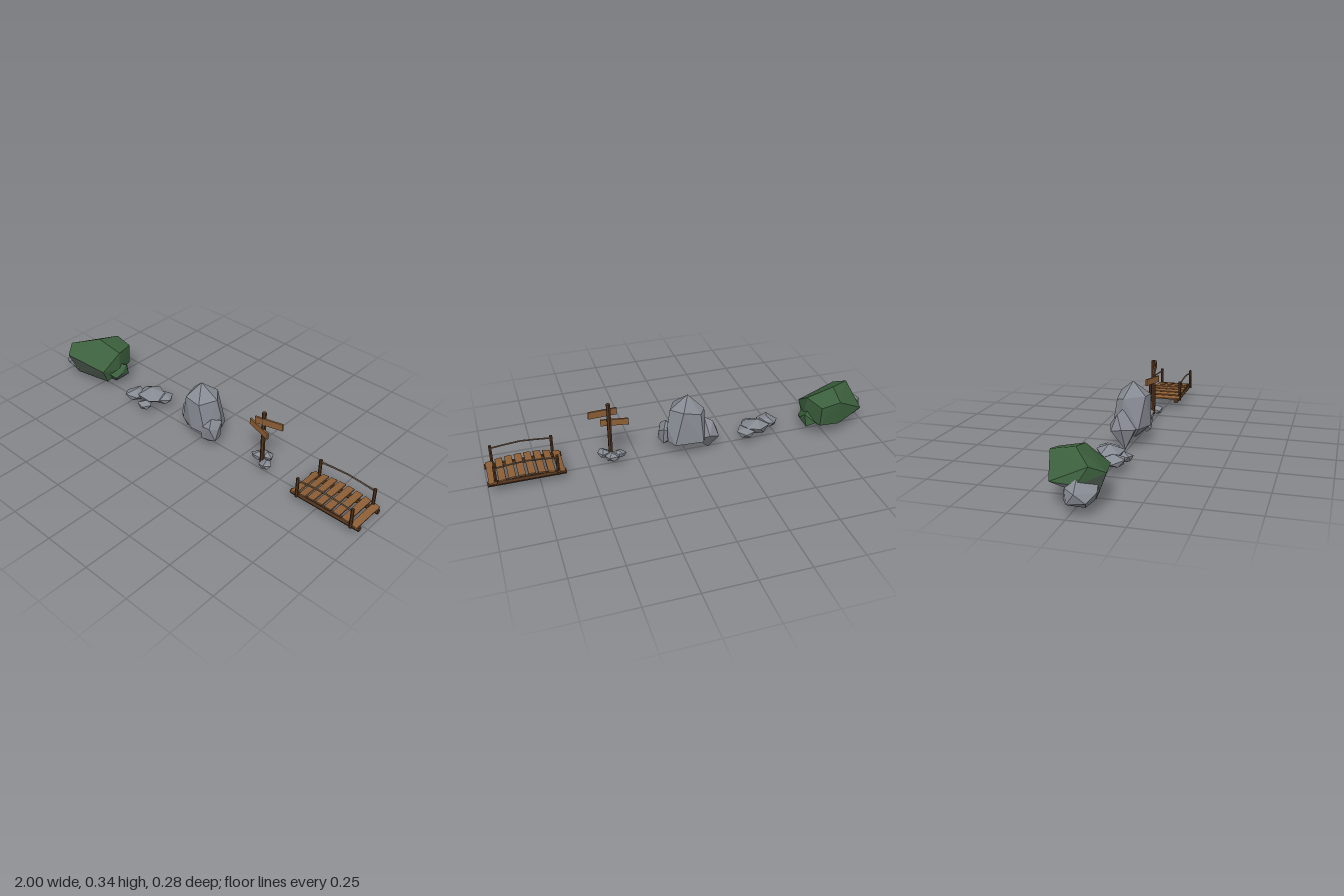
import * as THREE from 'three';
import { ConvexGeometry } from 'three/addons/geometries/ConvexGeometry.js';

const mat = (name, color) => {
  const m = new THREE.MeshStandardMaterial({ color, flatShading: true });
  m.name = name;
  return m;
};

export function createModel() {
  const model = new THREE.Group();
  model.name = 'trailProps';
  const stone = mat('stone grey', 0x868a92);
  const moss = mat('moss green', 0x3c603d);
  const darkMoss = mat('mossy stone', 0x4b5a4e);
  const plankWood = mat('plank brown', 0x8c5e35);
  const darkWood = mat('dark timber', 0x50341f);
  const rope = mat('rope brown', 0x786350);

  const group = (name) => {
    const g = new THREE.Group();
    g.name = name;
    model.add(g);
    return g;
  };
  const add = (parent, name, geo, material, pos = [0, 0, 0], rot = [0, 0, 0]) => {
    const m = new THREE.Mesh(geo, material);
    m.name = name;
    m.position.set(...pos);
    m.rotation.set(...rot);
    parent.add(m);
  };
  const hull = (pts) => new ConvexGeometry(pts.map((p) => new THREE.Vector3(...p)));

  // Faceted boulder from its corner points
  const rock = (parent, name, pts) => add(parent, name, hull(pts), stone);

  // Boulder with moss on top, fading to bare stone on the faces underneath
  const mossyRock = (parent, name, pts) => {
    const geo = hull(pts);
    const n = geo.attributes.normal;
    for (let i = 0; i < n.count; i += 3) {
      const ny = n.getY(i);
      geo.addGroup(i, 3, ny > -0.2 ? 0 : ny > -0.7 ? 1 : 2);
    }
    add(parent, name, geo, [moss, darkMoss, stone]);
  };

  // Small irregular pebble filling a box given by its centre and half sizes
  const pebble = (parent, name, [x, y, z], [a, b, c], turn = 0) => {
    const pts = [[0.1, 1, -0.1], [0, -1, 0.1]];
    for (let i = 0; i < 5; i++) {
      const t = turn + (i * Math.PI * 2) / 5;
      pts.push([Math.cos(t), 0.25 + 0.3 * Math.sin(i * 2.3), Math.sin(t)]);
      pts.push([0.72 * Math.cos(t + 0.6), -0.6, 0.72 * Math.sin(t + 0.6)]);
    }
    rock(parent, name, pts.map((p) => [x + p[0] * a, y + p[1] * b, z + p[2] * c]));
  };

  // Mossy boulder with two companions
  const mossy = group('mossyBoulders');
  mossyRock(mossy, 'mossyBoulder', [
    [-0.805, 0.24, -0.02], [-0.933, 0.205, 0.075], [-0.79, 0.215, -0.14], [-0.69, 0.195, -0.137],
    [-0.655, 0.207, -0.03], [-0.665, 0.13, 0.085], [-0.89, 0.172, 0.138], [-0.955, 0.13, 0.03],
    [-0.94, 0.13, -0.09], [-0.8, 0.08, -0.125], [-0.69, 0.09, -0.13], [-0.65, 0.11, -0.02],
    [-0.675, 0.05, 0.05], [-0.79, 0.03, 0.05], [-0.88, 0.05, 0.09], [-0.78, 0.035, -0.05],
  ]);
  rock(mossy, 'leftBoulder', [
    [-0.945, 0.155, 0.03], [-0.88, 0.13, 0.1], [-1, 0.11, 0.035], [-0.985, 0.07, 0.08],
    [-0.93, 0.1, 0.11], [-0.86, 0.08, 0.1], [-0.99, 0.06, 0], [-0.93, 0.03, 0.06],
    [-0.87, 0.04, 0.08], [-0.93, 0.06, -0.035], [-0.965, 0.12, -0.015], [-0.87, 0.1, 0],
  ]);
  mossyRock(mossy, 'rightMossyStone', [
    [-0.67, 0.135, -0.03], [-0.635, 0.125, -0.06], [-0.63, 0.09, -0.02], [-0.635, 0.075, 0.02],
    [-0.67, 0.1, 0.045], [-0.66, 0.04, 0], [-0.64, 0.06, -0.075], [-0.68, 0.09, -0.1],
    [-0.71, 0.05, 0.02], [-0.71, 0.1, -0.03],
  ]);

  // Low cluster of flat stones
  const flat = group('flatStones');
  rock(flat, 'middleFlatStone', [
    [-0.39, 0.117, -0.01], [-0.45, 0.085, -0.03], [-0.385, 0.09, -0.072], [-0.32, 0.09, -0.045],
    [-0.3, 0.075, 0.01], [-0.34, 0.08, 0.055], [-0.43, 0.08, 0.05], [-0.465, 0.065, 0.01],
    [-0.4, 0.03, 0.03], [-0.34, 0.04, -0.02], [-0.42, 0.04, -0.03],
  ]);
  pebble(flat, 'leftFlatStone', [-0.465, 0.065, 0.038], [0.058, 0.03, 0.058], 0.6);
  pebble(flat, 'rightFlatStone', [-0.318, 0.068, -0.035], [0.048, 0.028, 0.052], 0);
  pebble(flat, 'frontFlatStone', [-0.367, 0.052, 0.06], [0.04, 0.025, 0.04], 1.2);

  // Tall standing stone with a shard on each side
  const standing = group('standingStones');
  rock(standing, 'tallStone', [
    [-0.013, 0.325, 0], [-0.09, 0.25, -0.03], [-0.05, 0.26, 0.073], [0.04, 0.25, 0.077],
    [0.083, 0.258, -0.01], [0.03, 0.265, -0.074], [-0.06, 0.24, -0.07], [0.1, 0.17, -0.02],
    [-0.095, 0.1, 0.05], [0, 0.1, 0.088], [0.075, 0.09, 0.07], [0.1, 0.09, -0.03],
    [0.075, 0.09, -0.082], [-0.07, 0.09, -0.092], [-0.1, 0.11, -0.03],
    [0.013, 0.028, 0.01], [-0.06, 0.05, 0.02], [0.06, 0.05, -0.02],
  ]);
  rock(standing, 'leftShard', [
    [-0.09, 0.2, -0.03], [-0.13, 0.18, -0.05], [-0.162, 0.11, -0.02], [-0.155, 0.1, -0.075],
    [-0.1, 0.12, -0.095], [-0.115, 0.1, 0.035], [-0.06, 0.11, 0.04], [-0.05, 0.08, -0.05],
    [-0.122, 0, -0.01],
  ]);
  rock(standing, 'rightShard', [
    [0.09, 0.172, 0.04], [0.06, 0.13, 0.075], [0.11, 0.14, 0.077], [0.13, 0.12, 0.03],
    [0.115, 0.15, -0.012], [0.05, 0.12, -0.018], [0.13, 0.065, 0.055], [0.115, 0.06, 0],
    [0.08, 0.035, 0.045], [0.055, 0.06, 0.075],
  ]);

  // Signpost with two boards and stones at its foot
  const sign = group('signpost');
  add(sign, 'signPole', new THREE.CylinderGeometry(0.011, 0.011, 0.3, 6), darkWood, [0.388, 0.192, 0.002]);
  add(sign, 'upperBoard', new THREE.BoxGeometry(0.147, 0.036, 0.009), plankWood, [0.418, 0.296, 0.003], [0, 0.16, 0.07]);
  add(sign, 'lowerBoard', new THREE.BoxGeometry(0.138, 0.034, 0.009), plankWood, [0.361, 0.236, 0.002], [0, -0.25, -0.05]);
  pebble(sign, 'backFootStone', [0.386, 0.061, -0.036], [0.04, 0.025, 0.03], 0.3);
  pebble(sign, 'leftFootStone', [0.349, 0.058, -0.014], [0.039, 0.022, 0.024], 0.6);
  pebble(sign, 'rightFootStone', [0.42, 0.058, 0.015], [0.034, 0.025, 0.033], 0);

  // Arched plank footbridge
  const bridge = group('footbridge');
  const cx = 0.8125;
  for (const s of [1, -1]) {
    add(bridge, 'beam', new THREE.CylinderGeometry(0.0135, 0.0135, 0.375, 6), darkWood,
      [cx, 0.056, s * 0.075 + 0.001], [0, 0, Math.PI / 2]);
    const z = s * 0.088 + 0.002;
    for (const e of [1, -1]) {
      add(bridge, 'railPost', new THREE.CylinderGeometry(0.008, 0.008, 0.11, 6), darkWood, [cx + e * 0.148, 0.107, z]);
    }
    const arc = new THREE.CatmullRomCurve3([[-0.148, 0.148], [-0.07, 0.156], [0, 0.161], [0.07, 0.156], [0.148, 0.148]]
      .map(([x, y]) => new THREE.Vector3(cx + x, y, z)));
    add(bridge, 'ropeRail', new THREE.TubeGeometry(arc, 4, 0.0042, 5), rope);
  }
  for (let i = 0; i < 8; i++) {
    const t = (i - 3.5) / 3.5;
    add(bridge, 'plank', new THREE.BoxGeometry(0.035, 0.008, 0.186), plankWood,
      [cx + t * 0.163, 0.087 - 0.018 * t * t, -0.001], [0, 0, -0.2 * t]);
  }
  return model;
}
